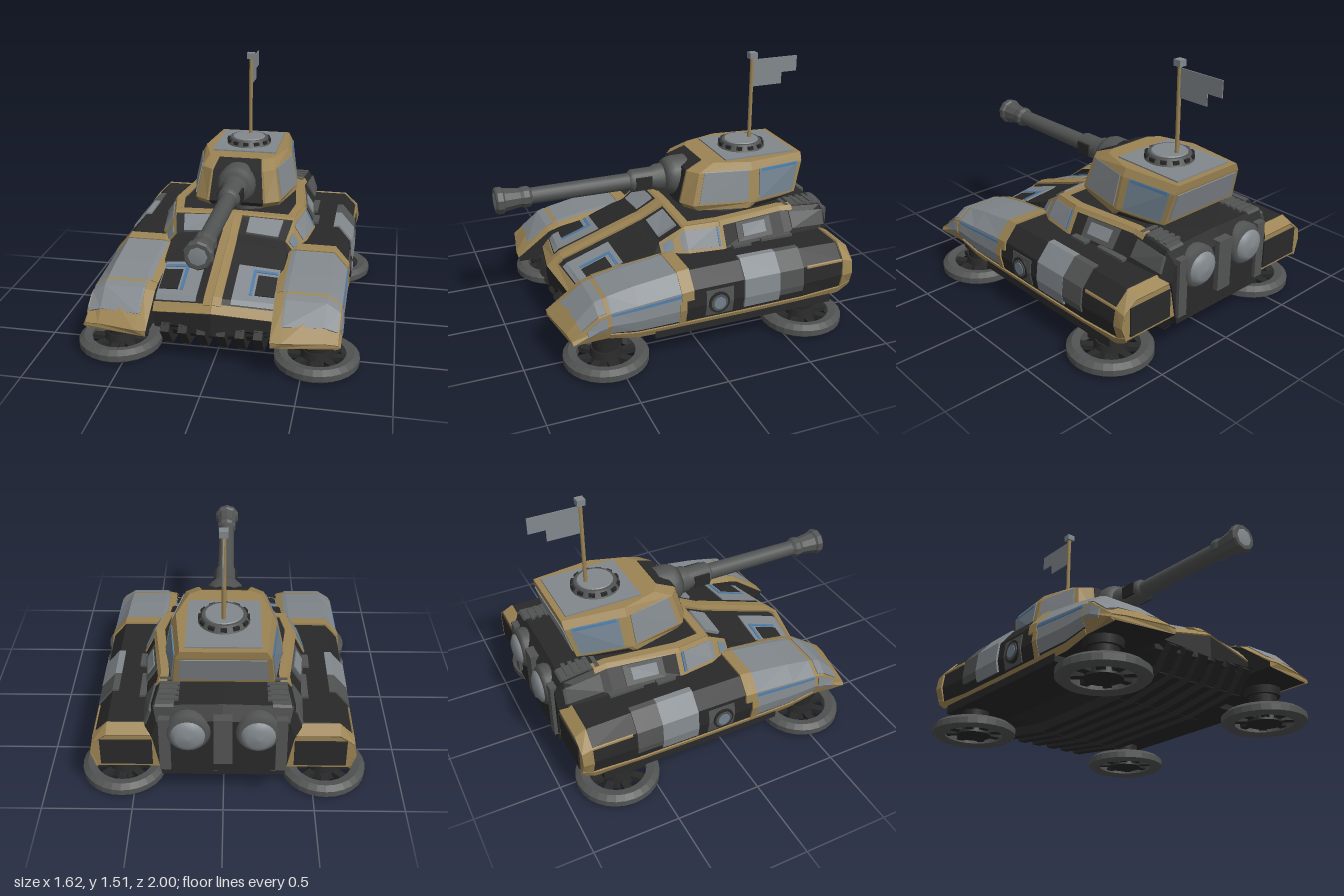
import * as THREE from 'three';

const paint = (name, color) => { const m = new THREE.MeshStandardMaterial({ color }); m.name = name; return m; };

export function createModel() {
  const tank = new THREE.Group();
  tank.name = 'hoverTank';
  const gold = paint('gold trim', 0x9c8454), dark = paint('charcoal armour', 0x292929), grey = paint('grey armour', 0x82888d);
  const steel = paint('gunmetal', 0x525453), blue = paint('blue accent', 0x4d7ba6), glass = paint('blue grey window', 0x71828f);

  const add = (name, geo, mat) => {
    const mesh = new THREE.Mesh(geo, mat);
    mesh.name = name;
    tank.add(mesh);
  };
  // Mirrored copy across x with the winding put right
  const mirrored = (geo) => {
    const g = geo.index ? geo.toNonIndexed() : geo.clone();
    g.scale(-1, 1, 1);
    for (const key of ['position', 'normal']) {
      const a = g.attributes[key];
      for (let i = 0; i < a.count; i += 3) {
        for (let c = 0; c < 3; c++) {
          const t = a.array[(i + 1) * 3 + c];
          a.array[(i + 1) * 3 + c] = a.array[(i + 2) * 3 + c];
          a.array[(i + 2) * 3 + c] = t;
        }
      }
    }
    return g;
  };
  const pair = (name, geo, mat) => { add(name + 'Left', geo, mat); add(name + 'Right', mirrored(geo), mat); };
  const box = (w, h, d, x, y, z) => new THREE.BoxGeometry(w, h, d).translate(x, y, z);
  const tube = (r0, r1, h, x, y, z, n = 24) => new THREE.CylinderGeometry(r0, r1, h, n).translate(x, y, z);
  const turned = (pts, n = 20) => new THREE.LatheGeometry(pts.map(p => new THREE.Vector2(...p)), n);
  const faceted = (g) => { const f = g.toNonIndexed(); f.computeVertexNormals(); return f; };

  // Surface through rings of points; patch() cuts out a raised piece of it
  const loft = (data) => {
    const rings = data.map(r => r.map(p => new THREE.Vector3(...p)));
    const S = rings.length - 1, U = rings[0].length - 1;
    const mid = new THREE.Vector3();
    rings.flat().forEach(p => mid.addScaledVector(p, 1 / ((S + 1) * (U + 1))));
    const at = (s, u) => {
      s = Math.min(Math.max(s, 0), S); u = Math.min(Math.max(u, 0), U);
      const i = Math.min(Math.floor(s), S - 1), j = Math.min(Math.floor(u), U - 1);
      const a = rings[i][j].clone().lerp(rings[i + 1][j], s - i);
      return a.lerp(rings[i][j + 1].clone().lerp(rings[i + 1][j + 1], s - i), u - j);
    };
    const normal = (s, u, e = 0.01) => at(s + e, u).sub(at(s - e, u)).cross(at(s, u + e).sub(at(s, u - e))).normalize();
    let sum = 0;
    for (let i = 0; i < S; i++) for (let j = 0; j < U; j++) sum += normal(i + .5, j + .5).dot(at(i + .5, j + .5).sub(mid));
    const sign = sum < 0 ? -1 : 1;
    const build = (tris) => {
      const g = new THREE.BufferGeometry().setFromPoints(tris);
      g.computeVertexNormals();
      return g;
    };
    const knots = (a, b) => { const k = [a]; for (let i = Math.floor(a) + 1; i < b; i++) k.push(i); return [...k, b]; };
    const patch = (s0, s1, u0, u1, lift = 0) => {
      const ss = knots(s0, s1), us = knots(u0, u1), tris = [];
      const grid = (h) => ss.map(s => us.map(u => at(s, u).addScaledVector(normal(s, u), h * sign)));
      const top = grid(lift), low = grid(-0.002);
      const quad = (a, b, c, d) => tris.push(...(sign > 0 ? [a, b, c, a, c, d] : [a, c, b, a, d, c]));
      const m = ss.length - 1, n = us.length - 1;
      for (let i = 0; i < m; i++) for (let j = 0; j < n; j++) {
        const c = [[i, j], [i + 1, j], [i + 1, j + 1], [i, j + 1]];
        const t = c.map(([x, y]) => top[x][y]), l = c.map(([x, y]) => low[x][y]);
        quad(...t);
        if (!lift) continue;
        [j === 0, i === m - 1, j === n - 1, i === 0].forEach((edge, k) => {
          const q = (k + 1) % 4;
          if (edge) quad(t[q], t[k], l[k], l[q]);
        });
      }
      return build(tris);
    };
    const cap = (s) => {
      const r = rings[s], tris = [], c = r.reduce((v, p) => v.addScaledVector(p, 1 / r.length), new THREE.Vector3());
      for (let j = 1; j < U; j++) {
        const n = r[j].clone().sub(r[0]).cross(r[j + 1].clone().sub(r[0]));
        tris.push(r[0], ...(n.dot(c.clone().sub(mid)) > 0 ? [r[j], r[j + 1]] : [r[j + 1], r[j]]));
      }
      return build(tris);
    };
    return { patch, cap, all: () => patch(0, S, 0, U) };
  };
  const dress = (surf, list) => list.forEach(([name, mat, ...area]) => pair(name, surf.patch(...area), mat));

  // Side pods: [z, bottom, top], front to back
  const pod = loft([[.82, .22, .25], [.62, .22, .405], [.55, .22, .43], [.4, .19, .46], [.13, .185, .495], [.08, .185, .5],
    [-.22, .185, .505], [-.6, .19, .505], [-.85, .21, .5], [-.92, .25, .46]].map(([z, b, t], i) => {
    const h = t - b, skew = i === 0 ? .05 : 0;
    return [[.34, b, z], [.34, t - h * .06, z], [.4, t, z], [.62, t, z - skew * .8], [.695, t - h * .28, z - skew],
      [.706, b + h * .4, z - skew], [.68, b, z - skew], [.34, b, z]];
  }));
  pair('podBody', pod.all(), dark);
  pair('podNoseCap', pod.cap(0), gold);
  pair('podRearCap', pod.cap(9), gold);
  pair('podRearPlate', box(.28, .165, .012, .52, .35, -.922), dark);
  pair('podUnderTray', box(.33, .05, 1.1, .525, .178, -.25), dark);
  dress(pod, [
    ['podNose', gold, 0, 1.9, 1, 6, .006], ['podNosePlate', grey, .38, 1.6, 1.85, 3.9, .011], ['podNoseSide', grey, .55, 1.6, 4.15, 5.2, .011],
    ['podFrontPanel', grey, 1.9, 3.95, 1.5, 5.6, .006], ['podBlueLine', blue, 2, 3.95, 4.1, 4.26, .01],
    ['podInnerTrim', gold, 1.9, 4, 1, 1.55, .01], ['podBand', gold, 3.92, 5, 1, 4.5, .012], ['podBandSide', gold, 3.88, 4.15, 4.5, 6, .01],
    ['podSill', gold, 1.9, 9, 5.72, 6, .01], ['podPortFrame', steel, 5.25, 5.8, 4.2, 5.6, .005],
    ['podRearPanel', grey, 6.02, 6.6, 2.85, 5.5, .012], ['podRearPanelEdge', steel, 6.6, 7, 2.85, 5.3, .01],
    ['podTopGear', steel, 6.1, 6.4, 1.5, 2.4, .014], ['podTopGearRear', steel, 6.6, 7.2, 1.6, 2.3, .014],
    ['podRearFrame', gold, 8.1, 9, 1.8, 6, .01], ['podRearTrim', gold, 7.1, 8.1, 3.95, 4.08, .008]]);

  // Round side ports
  const port = (r, h, x) => new THREE.CylinderGeometry(r, r, h, 16).rotateZ(Math.PI / 2).translate(x, .315, -.07);
  pair('portRing', port(.064, .03, .7), dark);
  pair('portRim', port(.05, .03, .704), steel);
  pair('portLens', port(.036, .03, .708), glass);

  // Central hull half: [z, side x, side y, edge x, edge y, centre y, bow of the nose]
  const hull = loft([[.66, .35, .25, .35, .29, .335, .06], [.6, .36, .31, .35, .365, .395, .04], [.2, .36, .45, .35, .515, .55, 0],
    [.14, .38, .48, .33, .54, .57, 0], [0, .44, .5, .36, .63, .64, 0], [-.2, .47, .5, .4, .645, .65, 0], [-.62, .44, .5, .34, .645, .65, 0],
    [-.88, .42, .49, .37, .635, .645, 0], [-.93, .38, .47, .35, .56, .57, 0]]
    .map(([z, x, y, ex, ey, cy, bow]) => [[0, .2, z + bow], [.33, .2, z], [x, y, z], [ex, ey, z], [0, cy, z + bow]]));
  pair('hullBody', hull.all(), dark);
  pair('hullFrontCap', hull.cap(0), dark);
  pair('hullRearCap', hull.cap(8), dark);
  dress(hull, [
    ['noseTrim', gold, 0, .6, 2, 4, .008], ['spineTrim', gold, .5, 4.1, 3.86, 4, .012], ['glacisPanel', grey, .7, 1.6, 3.05, 3.72, .005],
    ['glacisInset', dark, 1.1, 1.45, 3.07, 3.38, .009], ['glacisBlueTop', blue, 1.5, 1.54, 3.07, 3.42, .009],
    ['glacisBlueSide', blue, 1.1, 1.54, 3.42, 3.47, .009], ['frontHatch', grey, 3.1, 3.85, 3.15, 3.72, .016],
    ['cabinLip', gold, 3.92, 4.2, 3, 4, .01], ['cabinSide', gold, 3, 5.05, 2, 3, .006],
    ['quarterWindow', glass, 3.1, 3.5, 2.2, 2.8, .011], ['sideWindow', grey, 3.8, 4.88, 2.12, 2.84, .011],
    ['windowBlueLine', blue, 4.9, 4.96, 2.12, 2.84, .011], ['rearSideFrame', steel, 5.25, 5.8, 2.15, 2.84, .008],
    ['rearSideHatch', grey, 5.34, 5.7, 2.3, 2.72, .014], ['cabinRim', gold, 5, 6.3, 2.86, 3, .01],
    ['cabinDeckRim', gold, 4.2, 6.3, 3, 3.12, .01], ['engineSide', steel, 6.2, 7.1, 2.2, 2.8, .014],
    ['engineDeckFrame', steel, 6.3, 7.1, 3.03, 3.3, .01]]);
  for (let i = 0; i < 5; i++) pair('deckVent', box(.11, .02, .022, .29, .645, -.67 - i * .042), steel);

  // Engine back with two domed exhausts
  pair('exhaustPost', box(.06, .34, .05, .31, .42, -.925), steel);
  add('engineCentre', box(.1, .3, .06, 0, .45, -.93), steel);
  const turnBack = (g, x, y) => g.rotateX(-Math.PI / 2).translate(x, y, 0);
  pair('exhaustCollar', turnBack(turned([[.12, .88], [.12, .94], [.1, .965], [0, .965]]), .185, .5), steel);
  pair('exhaustDome', turnBack(turned([[.095, .95], [.09, .975], [.06, .993], [0, 1]]), .185, .5), grey);

  // Keel and lengthwise ribs: [z, y, half width]
  const keel = [[.7, .23, .28], [.62, .13, .26], [.3, .08, .27], [-.4, .07, .27], [-.78, .12, .27], [-.9, .25, .3]];
  const keelHull = loft(keel.map(([z, y, w]) => [[0, y, z], [w, y + .01, z], [w + .09, Math.max(.21, y + .02), z], [0, Math.max(.23, y + .03), z]]));
  pair('keel', keelHull.all(), dark);
  for (const x of [.055, .16, .26]) {
    for (let i = 0; i < keel.length - 1; i++) {
      const a = new THREE.Vector3(x, keel[i][1] - .015, keel[i][0]), b = new THREE.Vector3(x, keel[i + 1][1] - .015, keel[i + 1][0]);
      const g = new THREE.BoxGeometry(.05, .055, a.distanceTo(b) + .03);
      g.rotateX(Math.atan2(b.y - a.y, a.z - b.z)).translate(x, (a.y + b.y) / 2, (a.z + b.z) / 2);
      pair('keelRib', g, dark);
    }
  }

  // Four hover pads on stems
  const padRing = faceted(turned([[.165, .015], [.215, 0], [.24, .02], [.24, .055], [.21, .078], [.165, .07], [.165, .015]], 28));
  for (const z of [.55, -.675]) {
    pair('padRing', padRing.clone().translate(.57, 0, z), steel);
    pair('padHub', tube(.085, .1, .085, .57, .055, z, 16), dark);
    pair('padStem', tube(.085, .075, .16, .57, .15, z, 16), dark);
    pair('padCollar', tube(.105, .1, .045, .57, .19, z, 16), dark);
    for (let i = 0; i < 8; i++) pair('padSpoke', new THREE.BoxGeometry(.1, .03, .045).translate(.13, .04, 0).rotateY(i * Math.PI / 4).translate(.57, 0, z), dark);
  }

  // Turret half, from the bottom up; each ring runs front to back
  const turret = loft([
    [.665, [0, -.08], [.17, -.08], [.25, -.13], [.325, -.42], [.27, -.62], [0, -.62]],
    [.7, [0, -.05], [.18, -.05], [.26, -.1], [.33, -.45], [.27, -.76], [0, -.76]],
    [.885, [0, -.1], [.16, -.1], [.225, -.15], [.29, -.46], [.25, -.81], [0, -.81]],
    [.93, [0, -.21], [.14, -.21], [.2, -.25], [.265, -.46], [.225, -.815], [0, -.815]]
  ].map(([y, ...ring]) => ring.map(([x, z]) => [x, y, z])));
  pair('turretBody', turret.all(), gold);
  pair('turretRoof', turret.cap(3), gold);
  pair('turretFloor', turret.cap(0), dark);
  dress(turret, [['turretFront', dark, .3, 2.95, 0, .92, .005], ['turretWindow', grey, 1.06, 2.05, 2.1, 2.93, .006],
    ['turretRearWindow', glass, 1.06, 2.05, 3.14, 3.92, .006], ['turretWindowBlueLine', blue, 1.92, 2.02, 3.18, 3.88, .009],
    ['turretBack', grey, 1.12, 1.95, 4.1, 5, .006], ['turretUnderside', dark, .1, .8, 3.1, 5, .005]]);
  add('turretRing', tube(.27, .29, .05, 0, .65, -.36), dark);
  add('roofPanel', box(.4, .012, .45, 0, .932, -.555), grey);

  // Roof hatch
  add('hatchRing', tube(.12, .145, .045, 0, .955, -.525), steel);
  add('hatchLid', tube(.1, .11, .012, 0, .977, -.525), grey);
  for (let i = 0; i < 12; i++) add('hatchBlock', new THREE.BoxGeometry(.02, .02, .035).translate(.129, .958, 0).rotateY(i * Math.PI / 6).translate(0, 0, -.525), dark);

  // Gun, turned around its own length
  const gun = (name, pts, mat, n = 16) => add(name, turned(pts, n).rotateX(Math.PI / 2).translate(0, .805, 0), mat);
  gun('mantlet', [[.118, -.15], [.118, -.06], [.108, -.03], [.085, 0], [0, 0]], steel, 20);
  gun('barrelSleeve', [[.082, -.02], [.08, .04], [.068, .06], [.068, .19], [.05, .21]], steel);
  gun('barrel', [[.05, .18], [.047, .84]], steel);
  add('muzzle', faceted(turned([[.046, .79], [.062, .81], [.062, .84], [.055, .86], [.068, .95], [.079, .96], [.079, .99], [.07, 1], [0, 1]], 10)
    .rotateX(Math.PI / 2).translate(0, .805, 0)), steel);
  gun('muzzleFace', [[.05, .994], [.05, 1.001], [0, 1.001]], grey, 8);
  pair('sleeveClamp', box(.02, .07, .1, .062, .805, .13), dark);

  // Mast and flag
  add('mast', tube(.012, .012, .52, 0, 1.23, -.58, 8), gold);
  add('mastCap', box(.048, .036, .048, 0, 1.492, -.58), grey);
  const flag = new THREE.Shape([[.59, 1.3], [.78, 1.3], [.78, 1.37], [.88, 1.37], [.88, 1.465], [.59, 1.465]].map(p => new THREE.Vector2(...p)));
  add('flag', new THREE.ExtrudeGeometry(flag, { depth: .006, bevelEnabled: false }).rotateY(Math.PI / 2).translate(-.003, 0, 0), grey);

  return tank;
}
